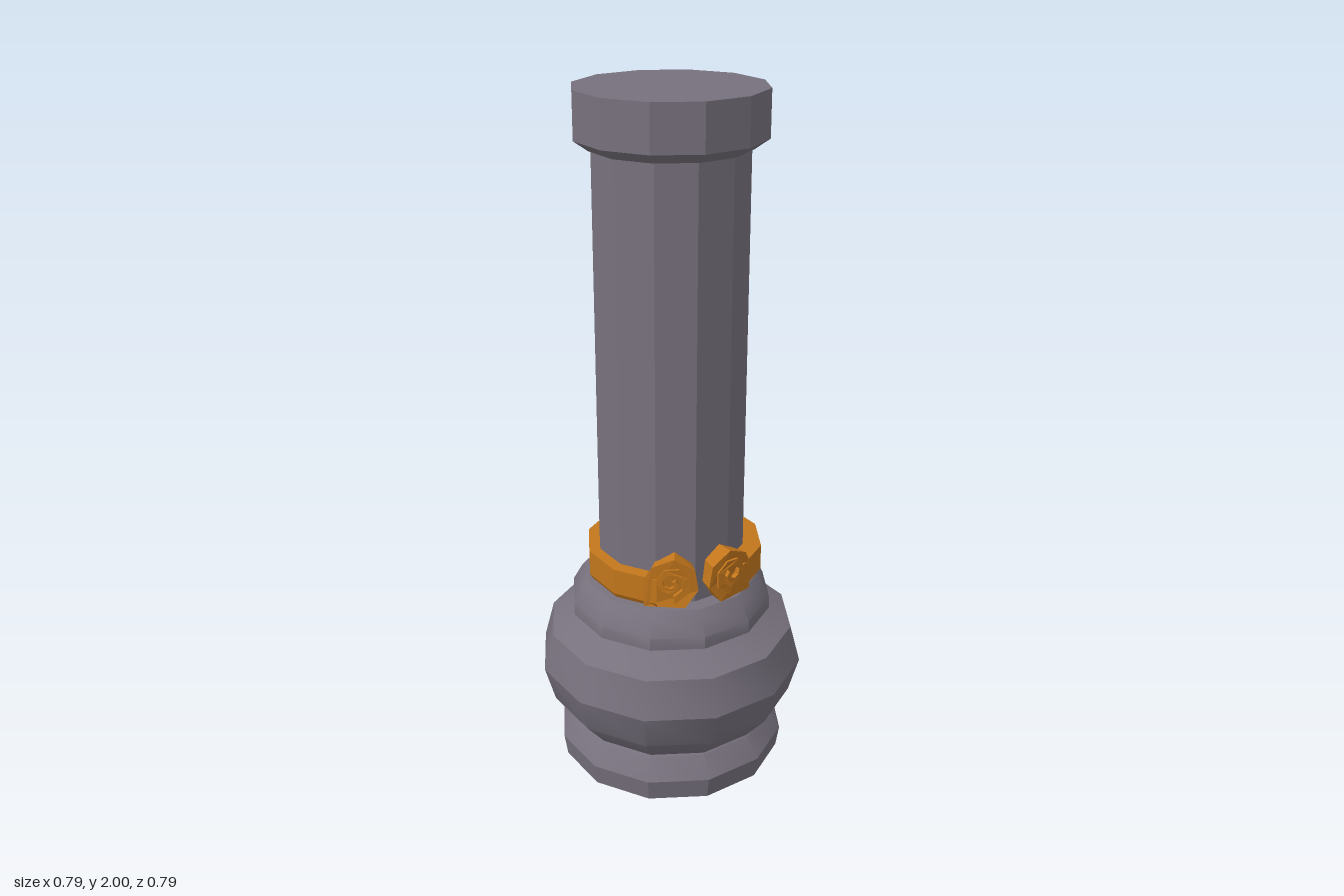
import * as THREE from 'three';
import { toCreasedNormals } from 'three/addons/utils/BufferGeometryUtils.js';

const rad = THREE.MathUtils.degToRad;
const points = (list) => list.map(([x, y]) => new THREE.Vector2(x, y));

const stone = new THREE.MeshStandardMaterial({ color: 0x77717d });
stone.name = 'grey stone';
const bronze = new THREE.MeshStandardMaterial({ color: 0xc2761c });
bronze.name = 'orange metal';

function addMesh(parent, name, geometry, material) {
  const mesh = new THREE.Mesh(geometry, material);
  mesh.name = name;
  parent.add(mesh);
}

// Twelve-sided turned part; gentle bends stay smooth, sharp ones are creased
function turned(profile) {
  return toCreasedNormals(new THREE.LatheGeometry(points(profile), 12), rad(29.5));
}

// Extrudes a flat outline and wraps it round the column at one end of a clasp.
// side = 1 or -1 picks the end; the outline's +s points towards the clasp tip.
function wrapped(outline, inner, outer, side) {
  const shape = new THREE.Shape(points(outline.map(([s, y]) => [s * side, y])));
  const geometry = new THREE.ExtrudeGeometry(shape, { depth: outer - inner, bevelEnabled: false });
  const pos = geometry.attributes.position;
  for (let i = 0; i < pos.count; i++) {
    const theta = rad(90 + side * 68) + pos.getX(i) / 0.255;
    const r = inner + pos.getZ(i);
    pos.setXYZ(i, r * Math.sin(theta), pos.getY(i), r * Math.cos(theta));
  }
  geometry.computeVertexNormals();
  return geometry;
}

// Tapering spiral ribbon in the (s, y) plane
function spiralOutline() {
  const outside = [], inside = [];
  const steps = 10;
  for (let i = 0; i <= steps; i++) {
    const t = i / steps;
    const angle = rad(-80 + 480 * t);
    const r = 0.064 - 0.046 * t;
    const width = 0.022 - 0.01 * t;
    const at = (q) => [0.004 + q * Math.cos(angle), 0.682 + q * Math.sin(angle)];
    outside.push(at(r));
    inside.unshift(at(r - width));
  }
  return [...outside, ...inside];
}

// Half ring with a curled scroll at each end, centred on +x
function clasp() {
  const group = new THREE.Group();
  const band = new THREE.LatheGeometry(points([
    [0.205, 0.6], [0.25, 0.6], [0.259, 0.615], [0.259, 0.692], [0.205, 0.695],
  ]), 4, rad(30), rad(120));
  addMesh(group, 'claspBand', toCreasedNormals(band, rad(5)), bronze);

  const curl = [
    [-0.072, 0.602], [0.044, 0.602], [0.082, 0.655], [0.072, 0.72],
    [0.014, 0.757], [-0.05, 0.728], [-0.072, 0.69],
  ];
  for (const side of [1, -1]) {
    addMesh(group, 'scrollPlate', wrapped(curl, 0.207, 0.257, side), bronze);
    addMesh(group, 'scrollSpiral', wrapped(spiralOutline(), 0.24, 0.261, side), bronze);
  }
  return group;
}

export function createModel() {
  const model = new THREE.Group();
  model.name = 'column';

  // Foot and bulging base
  addMesh(model, 'base', turned([
    [0, 0], [0.333, 0], [0.343, 0.065], [0.305, 0.128], [0.3, 0.132], [0.365, 0.21],
    [0.395, 0.317], [0.365, 0.43], [0.268, 0.482],
  ]), stone);

  // Collar where the shaft meets the base
  addMesh(model, 'collar', turned([
    [0.25, 0.482], [0.298, 0.488], [0.298, 0.525], [0.27, 0.575], [0.255, 0.592], [0.2, 0.597],
  ]), stone);

  // Shaft
  addMesh(model, 'shaft', turned([[0.215, 0.57], [0.215, 1.86]]), stone);

  // Cap
  addMesh(model, 'cap', turned([
    [0.2, 1.845], [0.222, 1.845], [0.262, 1.873], [0.262, 2], [0, 2],
  ]), stone);

  // Pair of facing clasps, set slightly off the axis
  for (const [name, turn] of [['leftClasp', 0], ['rightClasp', Math.PI]]) {
    const group = clasp();
    group.name = name;
    group.rotation.y = turn;
    group.position.x = 0.011;
    model.add(group);
  }
  return model;
}
